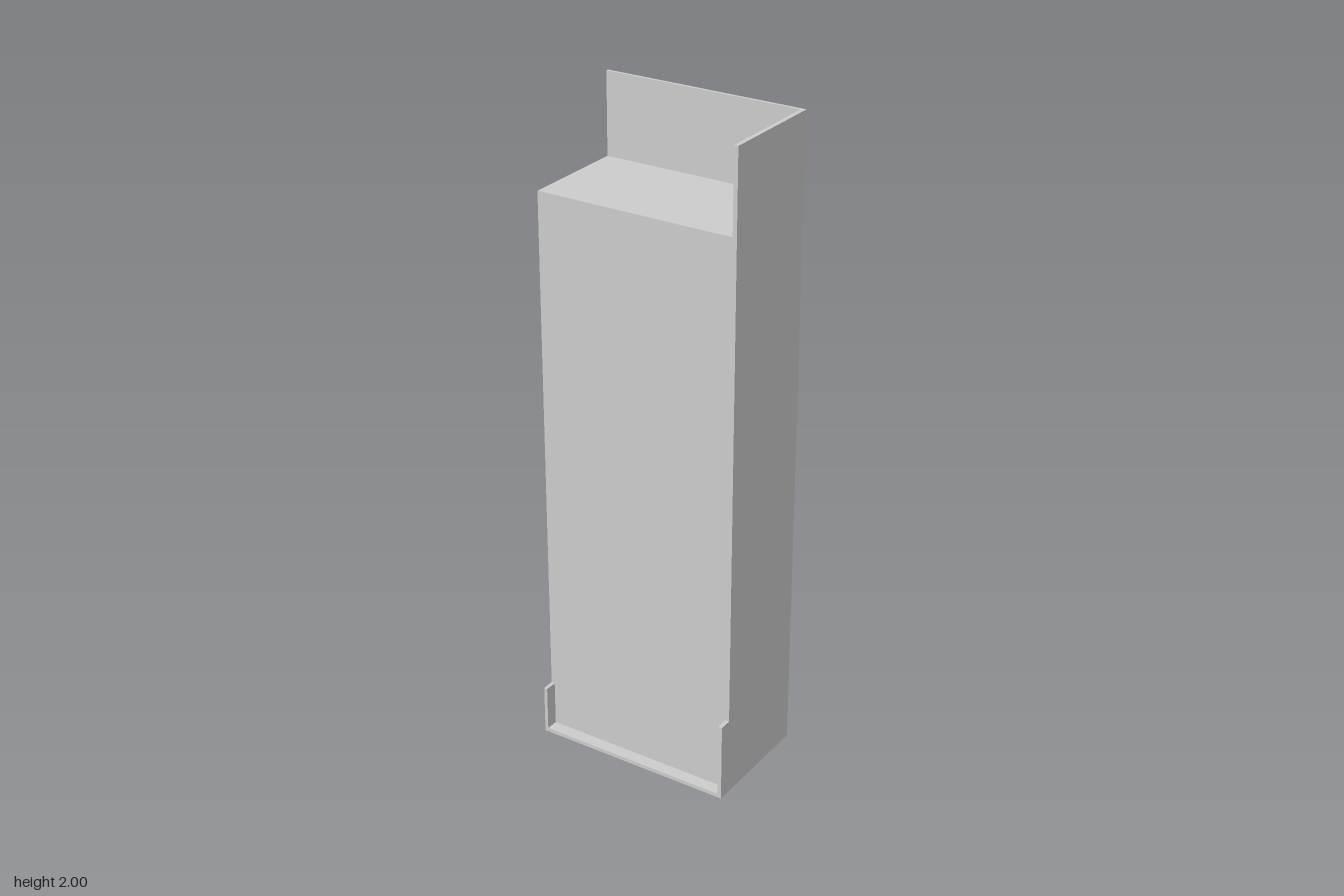
import * as THREE from 'three';

export function createModel() {
  const group = new THREE.Group();
  const material = new THREE.MeshStandardMaterial({ color: 0xcccccc, flatShading: true });

  const add = (name, geometry) => {
    const mesh = new THREE.Mesh(geometry, material);
    mesh.name = name;
    group.add(mesh);
  };

  // Box given by its lower and upper limits on each axis
  const box = (name, [x0, x1], [y0, y1], [z0, z1]) => add(name,
    new THREE.BoxGeometry(x1 - x0, y1 - y0, z1 - z0)
      .translate((x0 + x1) / 2, (y0 + y1) / 2, (z0 + z1) / 2));

  const W = 0.318, back = -0.193, face = 0.152, front = 0.191;
  const sideInner = 0.305, backInner = -0.184, floor = 0.012;

  // Main block, flush with the open side
  box('body', [-W, sideInner], [floor, 1.75], [backInner, face]);

  // Thin casing around the block
  box('backPanel', [-W, sideInner], [floor, 2], [back, backInner]);
  box('bottomPanel', [-W, sideInner], [0, floor], [back, front]);
  box('lowSideLip', [-W, -0.307], [floor, 0.155], [face, front]);

  // Tall side panel with a stepped foot, drawn in (-z, y) and turned onto x
  const profile = new THREE.Shape([
    [-front, 0], [-back, 0], [-back, 2], [-face, 2], [-face, 0.25], [-front, 0.25],
  ].map(([u, y]) => new THREE.Vector2(u, y)));
  add('sidePanel',
    new THREE.ExtrudeGeometry(profile, { depth: W - sideInner, bevelEnabled: false })
      .rotateY(Math.PI / 2).translate(sideInner, 0, 0));

  return group;
}
